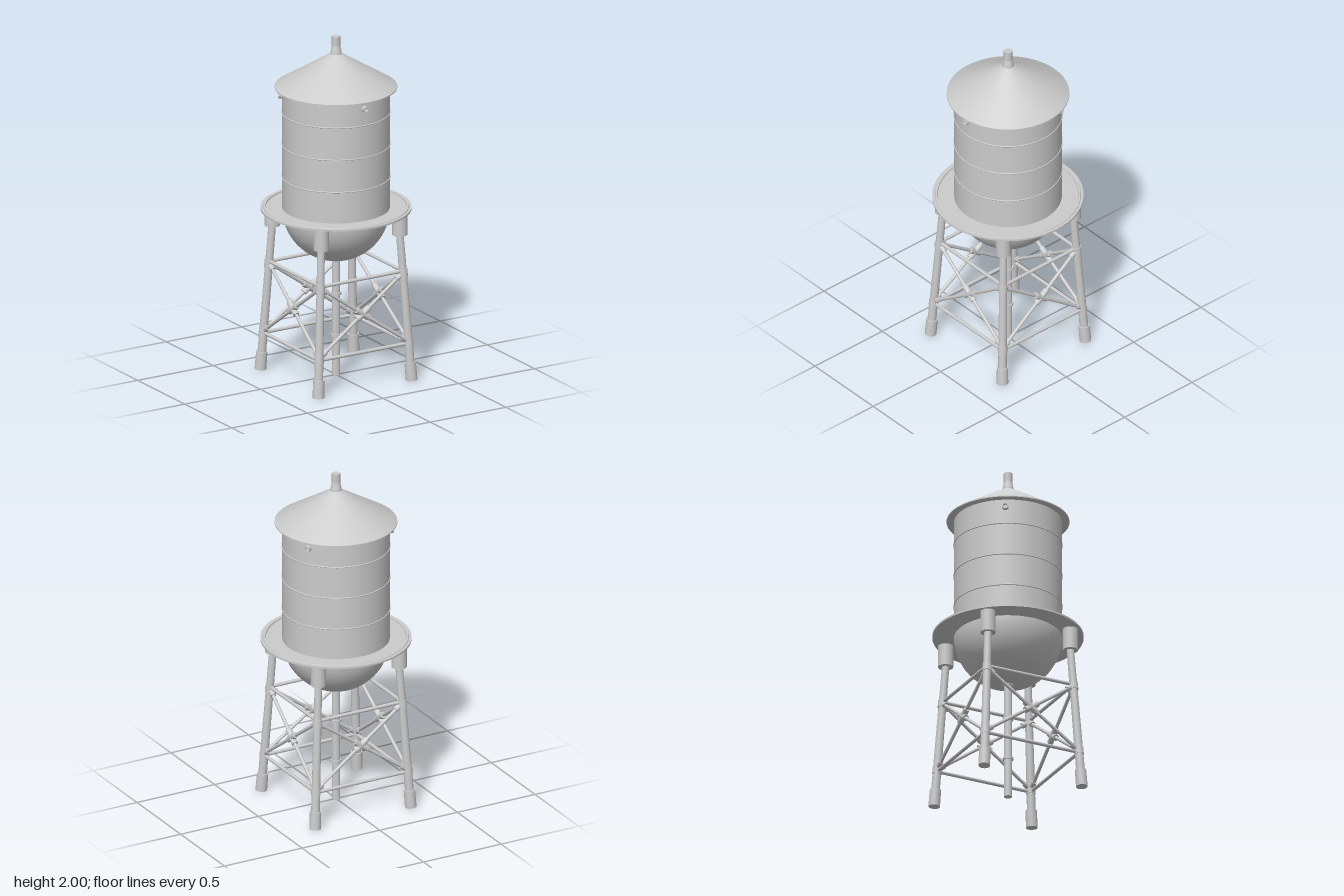
import * as THREE from 'three';

const material = new THREE.MeshStandardMaterial({ color: 0xcccccc });
const thin = new THREE.MeshStandardMaterial({ color: 0xcccccc, side: THREE.DoubleSide });

function add(parent, name, geometry, mat = material) {
  const mesh = new THREE.Mesh(geometry, mat);
  mesh.name = name;
  parent.add(mesh);
  return mesh;
}

// Round bar between two points
function bar(parent, name, a, b, r0, r1 = r0, sides = 16) {
  const dir = b.clone().sub(a);
  const mesh = add(parent, name, new THREE.CylinderGeometry(r1, r0, dir.length(), sides));
  mesh.position.copy(a).lerp(b, 0.5);
  mesh.quaternion.setFromUnitVectors(new THREE.Vector3(0, 1, 0), dir.normalize());
  return mesh;
}

// Hard-edged turned shape: every profile segment gets its own surface
function turned(parent, name, points, segments = 48) {
  const group = new THREE.Group();
  group.name = name;
  for (let i = 0; i < points.length - 1; i++) {
    const pair = [points[i], points[i + 1]].map(([r, y]) => new THREE.Vector2(r, y));
    add(group, name + 'Face', new THREE.LatheGeometry(pair, segments), thin);
  }
  parent.add(group);
  return group;
}

const v = (x, y, z) => new THREE.Vector3(x, y, z);
// Distance of a leg's axis from the centre planes at a given height
const spread = (y) => 0.308 - 0.056 * y;

export function createModel() {
  const model = new THREE.Group();
  model.name = 'waterTower';

  // Tank, rounded bottom and hoops
  add(model, 'tankWall', new THREE.CylinderGeometry(0.303, 0.303, 0.72, 48, 1, true), thin).position.y = 1.345;
  const bowl = add(model, 'tankBowl',
    new THREE.SphereGeometry(0.303, 48, 20, 0, Math.PI * 2, Math.PI / 2, Math.PI / 2), thin);
  bowl.position.y = 0.988;
  for (const y of [1.175, 1.365, 1.555]) {
    const hoop = add(model, 'tankHoop', new THREE.TorusGeometry(0.303, 0.004, 8, 64));
    hoop.rotation.x = Math.PI / 2;
    hoop.position.y = y;
  }

  // Conical roof with a thin edge, and the vent on top
  turned(model, 'roof', [[0, 1.7], [0.345, 1.7], [0.345, 1.706], [0.03, 1.9]]);
  turned(model, 'roofVent', [[0.033, 1.895], [0.032, 1.907], [0.024, 1.945], [0.024, 2], [0, 2]], 24);

  // Walkway with a low rim
  turned(model, 'walkway', [[0.295, 0.984], [0.425, 0.984], [0.425, 0.995], [0.41, 0.995],
    [0.408, 1], [0.396, 1], [0.394, 0.992], [0.295, 0.992]], 64);

  // Three overflow spouts around the top of the tank
  for (let i = 0; i < 3; i++) {
    const a = (i * Math.PI * 2) / 3;
    const spout = turned(model, 'overflowSpout',
      [[0.019, -0.02], [0.019, 0.022], [0.012, 0.022], [0.012, 0.004], [0, 0.004]], 20);
    spout.rotation.set(Math.PI / 2, 0, -a);
    spout.position.set(0.302 * Math.sin(a), 1.655, 0.302 * Math.cos(a));
  }

  // Central riser pipe with collars
  bar(model, 'riserPipe', v(0, 0, 0), v(0, 0.72, 0), 0.023, 0.023, 24);
  for (const [y, r, h] of [[0.482, 0.03, 0.014], [0.235, 0.03, 0.014], [0.688, 0.036, 0.012]]) {
    bar(model, 'riserCollar', v(0, y - h / 2, 0), v(0, y + h / 2, 0), r, r, 24);
  }

  // Four splayed legs with feet, joint collars and top sockets
  for (const sx of [-1, 1]) {
    for (const sz of [-1, 1]) {
      const at = (y) => v(sx * spread(y), y, sz * spread(y));
      const leg = new THREE.Group();
      leg.name = 'leg';
      model.add(leg);
      bar(leg, 'legPost', at(0.03), at(0.9), 0.025, 0.021, 24);
      bar(leg, 'foot', at(0.002), at(0.105), 0.033, 0.032, 24);
      for (const y of [0.225, 0.63]) bar(leg, 'legCollar', at(y - 0.022), at(y + 0.022), 0.027, 0.026, 24);
      bar(leg, 'legSocket', v(sx * 0.26, 0.855, sz * 0.26), v(sx * 0.26, 0.986, sz * 0.26), 0.043, 0.043, 24);
    }
  }

  // Bracing on each of the four sides
  for (let i = 0; i < 4; i++) {
    const side = new THREE.Group();
    side.name = 'bracing';
    side.rotation.y = (i * Math.PI) / 2;
    model.add(side);
    const p = (s, y) => v(s * spread(y), y, spread(y));
    for (const y of [0.217, 0.641]) bar(side, 'horizontalTie', p(-1, y), p(1, y), 0.01);
    for (const s of [-1, 1]) {
      const low = p(-s, 0.228);
      const high = p(s, 0.632);
      const along = (t) => low.clone().lerp(high, t);
      bar(side, 'diagonalBrace', low, high, 0.01);
      bar(side, 'braceEndLow', low, along(0.075), 0.016);
      bar(side, 'braceEndHigh', along(0.925), high, 0.016);
      // The two short sleeves cross to form the hub
      bar(side, 'braceHub', along(0.455), along(0.59), 0.018);
    }
  }
  return model;
}
